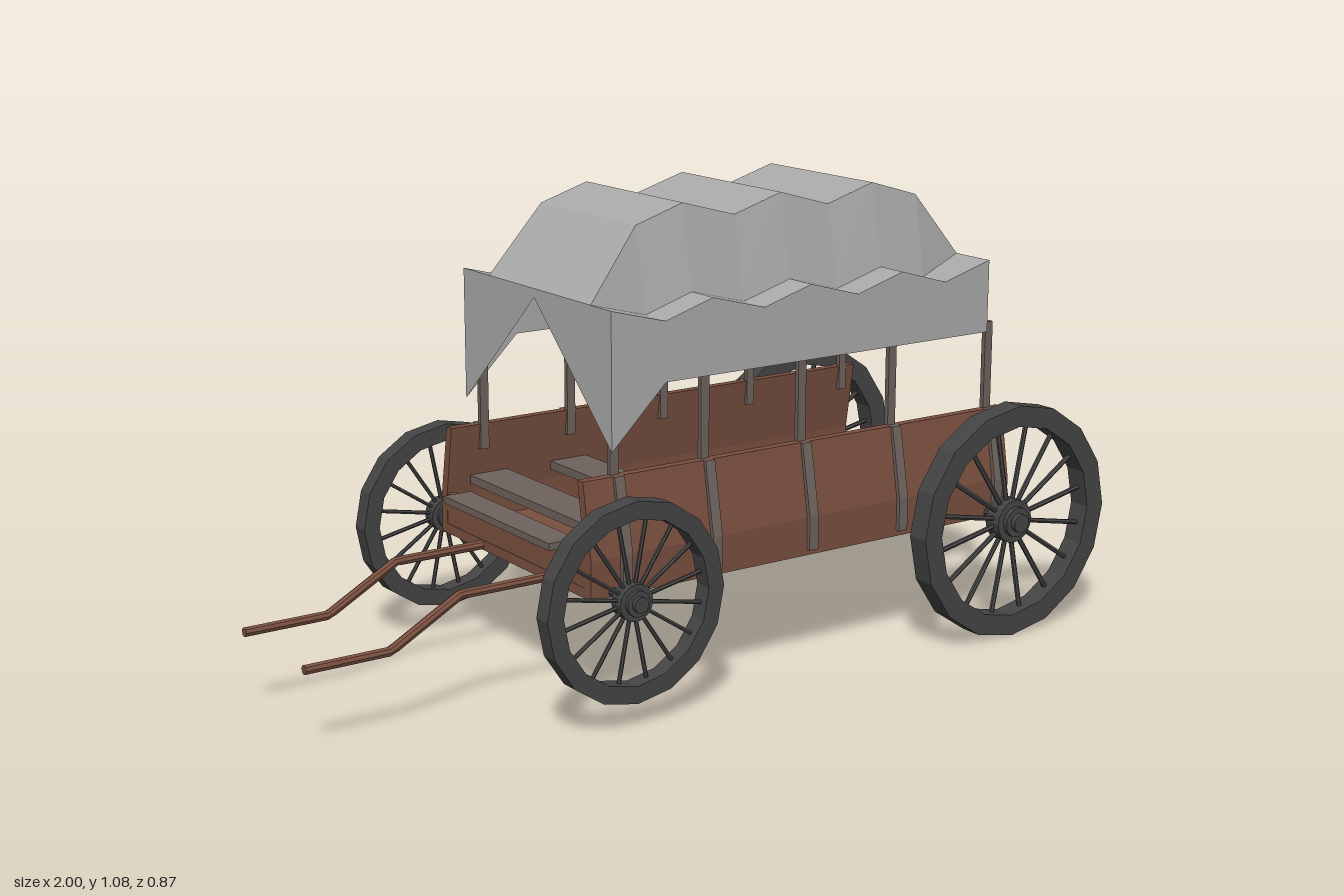
import * as THREE from 'three';

const mat = (color, side = THREE.FrontSide) =>
  new THREE.MeshStandardMaterial({ color, side, flatShading: true });
const wood = mat(0x7a5040);
const greyWood = mat(0x6e625d);
const iron = mat(0x444444);
const canvas = mat(0xaaaaaa, THREE.DoubleSide);

function add(parent, name, geometry, material, x = 0, y = 0, z = 0) {
  const mesh = new THREE.Mesh(geometry, material);
  mesh.name = name;
  mesh.position.set(x, y, z);
  parent.add(mesh);
  return mesh;
}

const box = (w, h, d) => new THREE.BoxGeometry(w, h, d);
const disc = (r, h, sides = 16) => new THREE.CylinderGeometry(r, r, h, sides).rotateX(Math.PI / 2);

// Extrudes a [z, y] outline along x, centred on its length
function extrudeX(outline, length) {
  const shape = new THREE.Shape(outline.map(([z, y]) => new THREE.Vector2(-z, y)));
  const g = new THREE.ExtrudeGeometry(shape, { depth: length, bevelEnabled: false });
  return g.translate(0, 0, -length / 2).rotateY(Math.PI / 2);
}

// Spoked wheel of radius 0.28 with its hub cap towards +z
function makeWheel() {
  const wheel = new THREE.Group();
  const rim = [[0.23, -0.027], [0.28, -0.027], [0.28, 0.027], [0.23, 0.027], [0.23, -0.027]]
    .map(([r, y]) => new THREE.Vector2(r, y));
  add(wheel, 'rim', new THREE.LatheGeometry(rim, 16).rotateX(Math.PI / 2), iron);
  for (let i = 0; i < 16; i++) {
    const spoke = new THREE.CylinderGeometry(0.006, 0.006, 0.2, 6).translate(0, 0.135, 0);
    add(wheel, 'spoke', spoke, iron).rotation.z = ((i + 0.5) / 16) * Math.PI * 2;
  }
  add(wheel, 'hub', disc(0.052, 0.044), iron);
  add(wheel, 'hubRing', disc(0.036, 0.03), iron, 0, 0, 0.018);
  add(wheel, 'hubCap', disc(0.022, 0.03), iron, 0, 0, 0.031);
  return wheel;
}

// Canvas cover built from cross-sections, with skirts and end flaps
function makeCover() {
  const pos = [];
  const tri = (...pts) => pts.forEach((p) => pos.push(...p));
  const quad = (a, b, c, d) => { tri(a, b, c); tri(a, c, d); };
  const xs = [-0.345, -0.206, -0.083, 0.056, 0.184, 0.318, 0.446, 0.575, 0.708];
  const last = xs.length - 1;
  const rows = xs.map((x, i) => {
    const end = i === 0 || i === last;
    const eave = i % 2 ? 0.853 : 0.89;
    const top = end ? 0.89 : i % 2 ? 1.042 : 1.08;
    const hem = i === 0 ? 0.585 : 0.72;
    const half = [[0.305, hem], [0.305, eave], [0.227, eave], [0.191, top]];
    const other = half.map(([z, y]) => [-z, y]).reverse();
    return [...half, ...other].map(([z, y]) => [x, y, z]);
  });
  for (let i = 0; i < last; i++) {
    for (let j = 0; j < 7; j++) quad(rows[i][j], rows[i + 1][j], rows[i + 1][j + 1], rows[i][j + 1]);
  }
  // Rear panel
  const r = rows[last];
  quad(r[0], r[7], r[6], r[1]);
  // Front flaps parting from the middle
  const f = rows[0];
  const peak = [xs[0], 0.87, 0];
  const ridge = [xs[0], 0.89, 0];
  quad(f[0], f[1], ridge, peak);
  quad(f[7], peak, ridge, f[6]);
  const g = new THREE.BufferGeometry();
  g.setAttribute('position', new THREE.Float32BufferAttribute(pos, 3));
  g.computeVertexNormals();
  return g;
}

export function createModel() {
  const wagon = new THREE.Group();
  wagon.name = 'coveredWagon';

  // Open-ended wagon bed: floor and kinked side walls
  const right = [[0.318, 0.272], [0.318, 0.36], [0.289, 0.528], [0.267, 0.528], [0.294, 0.36], [0.294, 0.295]];
  const left = right.map(([z, y]) => [-z, y]).reverse();
  add(wagon, 'bed', extrudeX([...right, ...left], 1.186), wood, 0.185);
  add(wagon, 'frontBoard', box(0.02, 0.075, 0.59), wood, -0.397, 0.33);
  add(wagon, 'footBoard', box(0.07, 0.016, 0.452), greyWood, -0.42, 0.377);
  for (const x of [-0.3, -0.08]) add(wagon, 'seat', box(0.1, 0.02, 0.57), greyWood, x, 0.395);

  // Ribs outside the walls and posts carrying the cover
  const rib = [[0.312, 0.285], [0.328, 0.285], [0.328, 0.362], [0.297, 0.528], [0.28, 0.528], [0.312, 0.36]];
  for (const x of [-0.32, -0.083, 0.184, 0.446, 0.74]) {
    for (const s of [1, -1]) {
      const outline = rib.map(([z, y]) => [s * z, y]);
      add(wagon, 'rib', extrudeX(outline, 0.025), greyWood, x);
      add(wagon, 'post', box(0.022, 0.268, 0.012), greyWood, x, 0.602, s * 0.271);
    }
  }

  add(wagon, 'cover', makeCover(), canvas);

  // Axles and wheels, small pair at the shaft end
  for (const [x, scale] of [[-0.353, 0.8], [0.716, 1]]) {
    add(wagon, 'axle', disc(0.011, 0.82, 8), iron, x, 0.283, -0.01);
    for (const z of [0.392, -0.408]) {
      const wheel = makeWheel();
      wheel.name = scale < 1 ? 'frontWheel' : 'rearWheel';
      wheel.scale.setScalar(scale);
      wheel.position.set(x, 0.283, z);
      wagon.add(wheel);
    }
  }

  // Bent draught shafts
  const bends = [[-1, 0.19], [-0.8, 0.19], [-0.63, 0.283], [-0.38, 0.283]];
  for (const z of [0.148, -0.138]) {
    const path = new THREE.CurvePath();
    for (let i = 0; i < 3; i++) {
      path.add(new THREE.LineCurve3(
        new THREE.Vector3(...bends[i], z), new THREE.Vector3(...bends[i + 1], z)));
    }
    add(wagon, 'shaft', new THREE.TubeGeometry(path, 36, 0.011, 8), wood);
    for (const [k, dir] of [[0, -1], [3, 1]]) {
      const cap = new THREE.CircleGeometry(0.011, 8).rotateY(dir * Math.PI / 2);
      add(wagon, 'shaftEnd', cap, wood, ...bends[k], z);
    }
  }

  return wagon;
}
